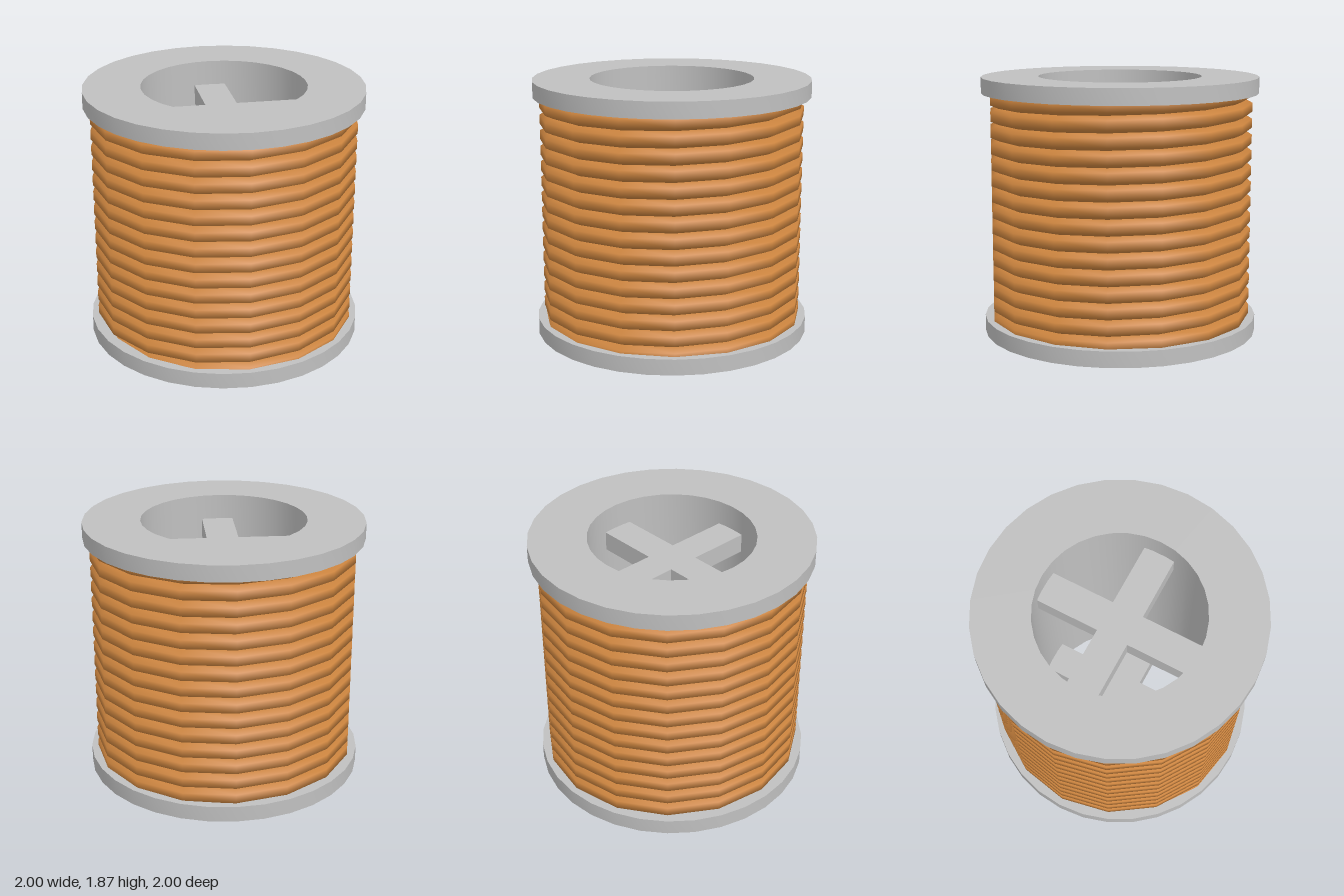
import * as THREE from 'three';
import { toCreasedNormals } from 'three/addons/utils/BufferGeometryUtils.js';

const HEIGHT = 1.87, FLANGE = 0.115, HOLE = 0.59;

// Winding: a hexagonal section swept up a helix, 16 sides per turn
function coilGeometry(startY, pitch, turns, sides) {
  const section = [[0.954, -0.032], [0.954, 0.032], [0.885, 0.062], [0.82, 0.032], [0.82, -0.032], [0.885, -0.062]];
  const n = section.length, steps = turns * sides, pos = [], index = [];
  for (let i = 0; i <= steps; i++) {
    const a = Math.PI + (i / sides) * Math.PI * 2, y = startY + (pitch * i) / sides;
    for (const [r, h] of section) pos.push(r * Math.cos(a), y + h, -r * Math.sin(a));
    if (i === steps) break;
    for (let j = 0; j < n; j++) {
      const p = i * n + j, q = i * n + ((j + 1) % n);
      index.push(p, p + n, q, q, p + n, q + n);
    }
  }
  const g = new THREE.BufferGeometry();
  g.setAttribute('position', new THREE.Float32BufferAttribute(pos, 3));
  g.setIndex(index);
  g.computeVertexNormals();
  return g;
}

// Cross-shaped plate spanning the bore
function crossGeometry(w, l, thickness) {
  const pts = [[w, w], [w, l], [-w, l], [-w, w], [-l, w], [-l, -w], [-w, -w], [-w, -l], [w, -l], [w, -w], [l, -w], [l, w]];
  const shape = new THREE.Shape(pts.map(([x, y]) => new THREE.Vector2(x, y)));
  const g = new THREE.ExtrudeGeometry(shape, { depth: thickness, bevelEnabled: false });
  return g.rotateX(-Math.PI / 2);
}

export function createModel() {
  const grey = new THREE.MeshStandardMaterial({ color: 0xc0c0c0 });
  grey.name = 'grey plastic';
  const copper = new THREE.MeshStandardMaterial({ color: 0xcd853f });
  copper.name = 'copper wire';

  const group = new THREE.Group();
  group.name = 'wireSpool';
  const add = (name, geometry, material, y = 0) => {
    const mesh = new THREE.Mesh(geometry, material);
    mesh.name = name;
    mesh.position.y = y;
    group.add(mesh);
  };

  // Spool body: two flanges, a core and an open bore
  const profile = [
    [HOLE, 0], [1, 0], [1, FLANGE], [0.84, FLANGE],
    [0.84, HEIGHT - FLANGE], [1, HEIGHT - FLANGE], [1, HEIGHT], [HOLE, HEIGHT], [HOLE, 0],
  ].map(([x, y]) => new THREE.Vector2(x, y));
  add('spool', toCreasedNormals(new THREE.LatheGeometry(profile, 32), 0.6), grey);

  // Recessed cross braces near both ends
  const thickness = 0.14, recess = 0.18;
  add('lowerCross', crossGeometry(0.115, 0.585, thickness), grey, recess);
  add('upperCross', crossGeometry(0.115, 0.585, thickness), grey, HEIGHT - recess - thickness);

  // Wire, with both ends tucked into the flanges
  add('wireCoil', coilGeometry(0.063, 0.115, 15, 16), copper);
  return group;
}
